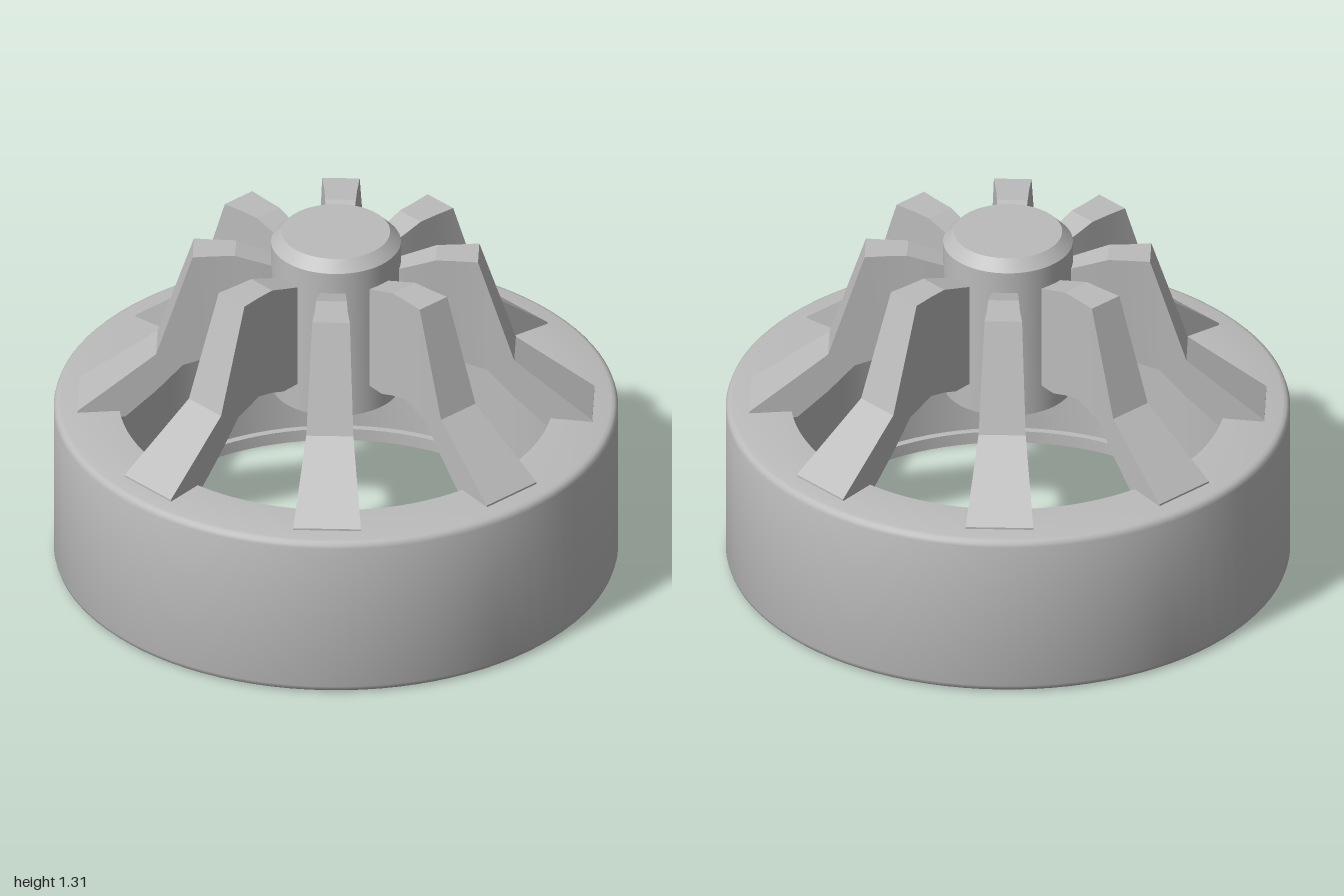
import * as THREE from 'three';
import { toCreasedNormals } from 'three/addons/utils/BufferGeometryUtils.js';

const grey = new THREE.MeshStandardMaterial({ color: 0xbbbbbb });
grey.name = 'plain grey';

function part(name, geometry, crease) {
  const mesh = new THREE.Mesh(toCreasedNormals(geometry, crease), grey);
  mesh.name = name;
  return mesh;
}

function lathe(profile) {
  return new THREE.LatheGeometry(profile.map(([r, y]) => new THREE.Vector2(r, y)), 96);
}

// Rib cross-sections from hub to rim: radius, bottom, top, start and end angle in degrees
const RIB = [
  [0.21, 0.79, 1.18, -5, 18.5],
  [0.3, 0.79, 1.21, -3, 16.5],
  [0.36, 0.81, 1.23, -1.8, 15.6],
  [0.43, 0.825, 1.23, -0.6, 15],
  [0.51, 0.80, 1.23, 0, 15],
  [0.545, 0.79, 1.125, 0, 15],
  [0.64, 0.69, 0.84, 0, 15],
  [0.75, 0.59, 0.754, 0, 15],
  [0.92, 0.59, 0.622, 0, 15],
];

function ribGeometry() {
  const sections = RIB.map(([r, bottom, top, a0, a1]) => {
    const at = (deg, y) => {
      const a = THREE.MathUtils.degToRad(deg);
      return [r * Math.sin(a), y, r * Math.cos(a)];
    };
    return [at(a0, bottom), at(a1, bottom), at(a1, top), at(a0, top)];
  });
  const positions = [];
  const quad = (a, b, c, d) => positions.push(...a, ...b, ...c, ...a, ...c, ...d);
  for (let i = 0; i < sections.length - 1; i++) {
    const p = sections[i], q = sections[i + 1];
    for (let k = 0; k < 4; k++) {
      const n = (k + 1) % 4;
      quad(p[k], p[n], q[n], q[k]);
    }
  }
  const first = sections[0], last = sections[sections.length - 1];
  quad(...last);
  quad(first[3], first[2], first[1], first[0]);
  const geometry = new THREE.BufferGeometry();
  geometry.setAttribute('position', new THREE.Float32BufferAttribute(positions, 3));
  return geometry;
}

export function createModel() {
  const model = new THREE.Group();
  model.name = 'ribbedCap';

  // Heavy rim with rounded outer edges and a small lip at each end of the bore
  model.add(part('rimRing', lathe([
    [0.77, 0], [0.975, 0], [0.988, 0.004], [0.996, 0.012], [1, 0.025],
    [1, 0.59], [0.996, 0.603], [0.988, 0.611], [0.975, 0.615],
    [0.77, 0.615], [0.77, 0.57], [0.795, 0.57],
    [0.795, 0.045], [0.77, 0.045], [0.77, 0],
  ]), 0.6));

  // Central hub with a chamfered top
  model.add(part('hub', lathe([
    [0, 0.685], [0.23, 0.685], [0.23, 1.268], [0.192, 1.308], [0, 1.308],
  ]), 0.5));

  // Eight ribs joining hub and rim
  const rib = ribGeometry();
  for (let i = 0; i < 8; i++) {
    const mesh = part('rib' + (i + 1), rib, 0.3);
    mesh.rotation.y = (i * Math.PI) / 4;
    model.add(mesh);
  }
  return model;
}
